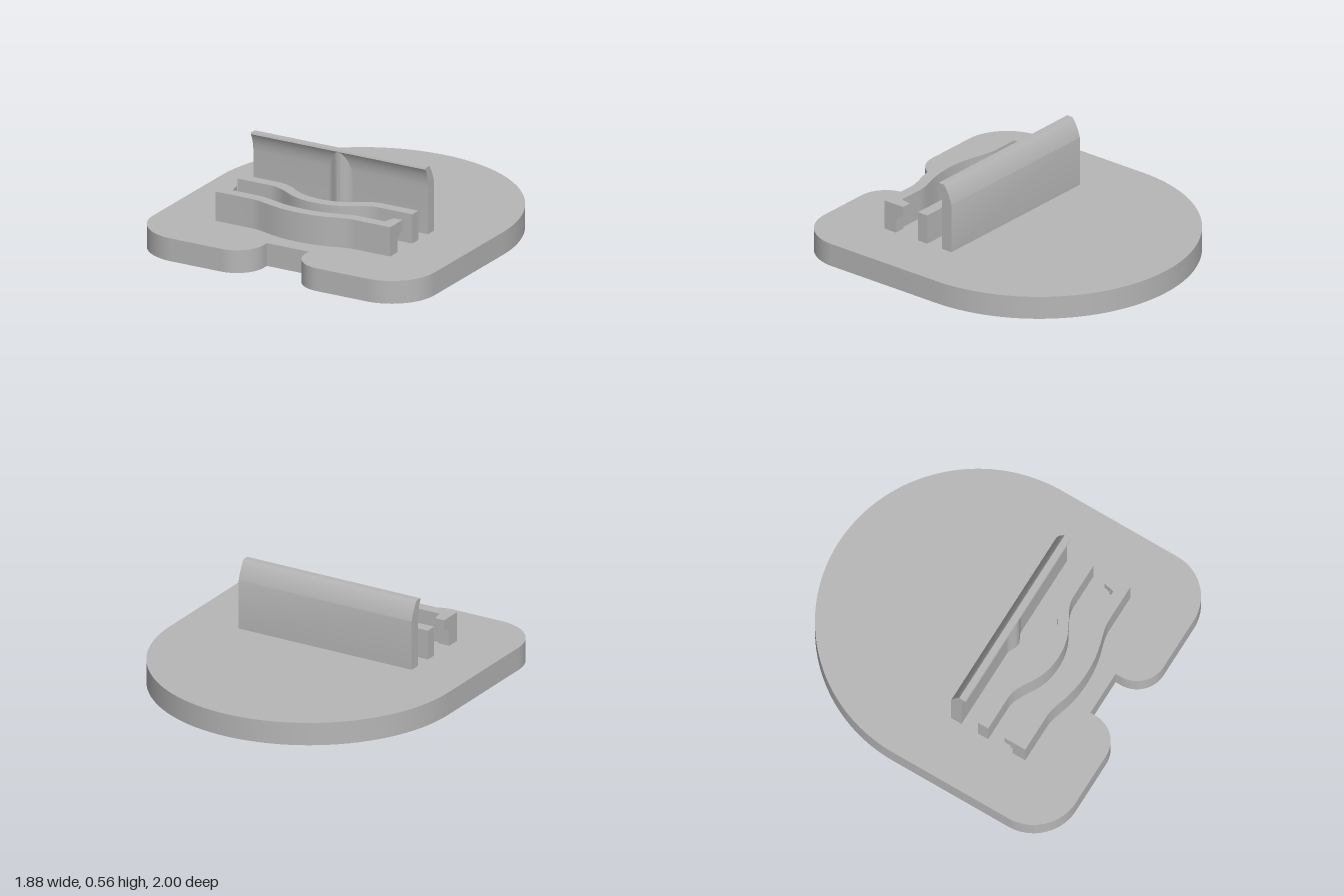
import * as THREE from 'three';
import { toCreasedNormals } from 'three/addons/utils/BufferGeometryUtils.js';

const grey = new THREE.MeshStandardMaterial({ color: 0xb6b6b6 });
grey.name = 'grey plastic';

function extrude(shape, depth) {
  return new THREE.ExtrudeGeometry(shape, { depth, bevelEnabled: false, curveSegments: 48 });
}

function mesh(geometry, name) {
  const m = new THREE.Mesh(toCreasedNormals(geometry, 0.5), grey);
  m.name = name;
  return m;
}

// Stands a plan outline (x, z) up between two heights
function slab(shape, y0, y1, name) {
  return mesh(extrude(shape, y1 - y0).rotateX(Math.PI / 2).translate(0, y1, 0), name);
}

// Plan of the base: round back, rounded front corners, notch in the front edge
function baseOutline() {
  const s = new THREE.Shape();
  s.moveTo(0.14, 0.785);
  s.lineTo(0.14, 0.82);
  s.absarc(0.32, 0.82, 0.18, Math.PI, Math.PI / 2, true);
  s.absarc(0.655, 0.715, 0.285, Math.PI / 2, 0, true);
  s.absarc(0, -0.06, 0.94, 0, Math.PI, true);
  s.absarc(-0.655, 0.715, 0.285, Math.PI, Math.PI / 2, true);
  s.absarc(-0.32, 0.82, 0.18, Math.PI / 2, 0, true);
  s.lineTo(-0.14, 0.785);
  return s;
}

// Plan of a strip whose middle bows forward; each edge is [flat z, bow z, bow half width, ease in, ease out]
function bowedStrip(back, front) {
  const W = 0.585;
  const s = new THREE.Shape();
  const [bz, bb, bw, bi, bo] = back;
  const [fz, fb, fw, fi, fo] = front;
  s.moveTo(-W, bz);
  s.lineTo(-bw, bz);
  s.bezierCurveTo(-bi, bz, -bo, bb, 0, bb);
  s.bezierCurveTo(bo, bb, bi, bz, bw, bz);
  s.lineTo(W, bz);
  s.lineTo(W, fz);
  s.lineTo(fw, fz);
  s.bezierCurveTo(fi, fz, fo, fb, 0, fb);
  s.bezierCurveTo(-fo, fb, -fi, fz, -fw, fz);
  s.lineTo(-W, fz);
  s.closePath();
  return s;
}

export function createModel() {
  const model = new THREE.Group();
  model.name = 'stand';

  // Base with a shallow round recess underneath
  const rim = baseOutline();
  const hole = new THREE.Path();
  hole.absarc(0, -0.06, 0.757, 0, Math.PI * 2, false);
  rim.holes.push(hole);
  model.add(slab(rim, 0, 0.04, 'baseRim'), slab(baseOutline(), 0.04, 0.14, 'basePlate'));

  // Back wall with a lip curling forward, drawn as a (z, y) profile
  const p = new THREE.Shape();
  p.moveTo(0.115, 0.14);
  p.lineTo(0.185, 0.14);
  p.lineTo(0.185, 0.43);
  p.quadraticCurveTo(0.187, 0.5, 0.214, 0.545);
  p.lineTo(0.21, 0.555);
  p.lineTo(0.17, 0.555);
  p.quadraticCurveTo(0.135, 0.51, 0.115, 0.44);
  p.closePath();
  model.add(mesh(extrude(p, 1.17).rotateY(-Math.PI / 2).translate(0.585, 0, 0), 'backWall'));

  // Soft rib up the middle of the wall, fading into the lip
  const r = new THREE.Shape();
  r.moveTo(-0.08, 0.17);
  for (let i = 0; i <= 24; i++) {
    const x = -0.08 + (i / 24) * 0.16;
    r.lineTo(x, 0.185 + 0.014 * (1 + Math.cos((x / 0.08) * Math.PI)));
  }
  r.lineTo(0.08, 0.17);
  r.closePath();
  model.add(slab(r, 0.14, 0.55, 'wallRib'));

  // Two bowed strips in front of the wall
  model.add(slab(bowedStrip([0.295, 0.415, 0.36, 0.21, 0.2], [0.365, 0.485, 0.37, 0.24, 0.2]), 0.14, 0.32, 'middleStrip'));
  model.add(slab(bowedStrip([0.545, 0.605, 0.35, 0.25, 0.18], [0.615, 0.675, 0.35, 0.25, 0.19]), 0.14, 0.32, 'frontStrip'));

  // End tabs of the front strip, stepped so the top overhangs
  const steps = [[0.14, 0.22, 0.53], [0.22, 0.25, 0.515], [0.25, 0.32, 0.475]];
  for (const side of [-1, 1]) {
    const tab = new THREE.Group();
    tab.name = side > 0 ? 'leftTab' : 'rightTab';
    for (const [y0, y1, z] of steps) {
      const inner = 0.51 + ((0.545 - z) / 0.07) * 0.015;
      const s = new THREE.Shape();
      s.moveTo(side * 0.585, 0.545);
      s.lineTo(side * 0.585, z);
      s.lineTo(side * inner, z);
      s.lineTo(side * 0.51, 0.545);
      s.closePath();
      tab.add(slab(s, y0, y1, 'tabStep'));
    }
    model.add(tab);
  }
  return model;
}
